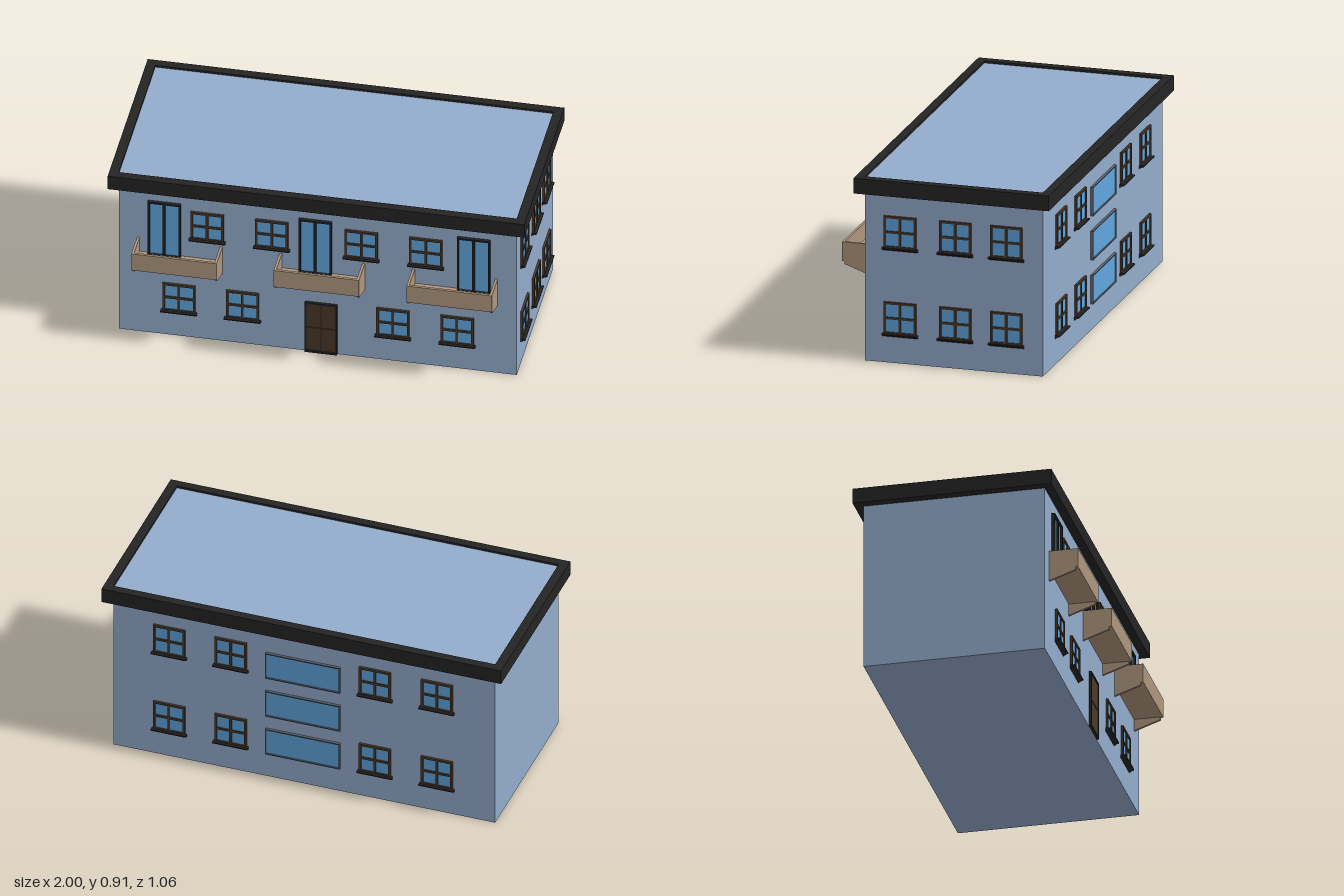
import * as THREE from 'three';

const mat = (color) => new THREE.MeshStandardMaterial({ color });
const wallMat = mat(0x93abcb), darkMat = mat(0x242424), glassMat = mat(0x61a5de);
const woodMat = mat(0x4a3828), stoneMat = mat(0xae967d), greyMat = mat(0x5c646e);

const HALF_X = 0.955, FRONT = 0.39, BACK = -0.487;
const MID_Z = (FRONT + BACK) / 2, DEPTH = FRONT - BACK;

function add(parent, name, geometry, material, x = 0, y = 0, z = 0) {
  const mesh = new THREE.Mesh(geometry, material);
  mesh.name = name;
  mesh.position.set(x, y, z);
  parent.add(mesh);
  return mesh;
}

const box = (w, h, d) => new THREE.BoxGeometry(w, h, d);

function rectPath(path, x0, y0, x1, y1) {
  path.moveTo(x0, y0);
  path.lineTo(x1, y0);
  path.lineTo(x1, y1);
  path.lineTo(x0, y1);
  path.closePath();
  return path;
}

// Frame with a grid of openings, bottom edge at y = 0, standing out along +z
function frameGeometry(w, h, cols, rows, edge, bar, depth) {
  const shape = rectPath(new THREE.Shape(), -w / 2, 0, w / 2, h);
  const cw = (w - 2 * edge - (cols - 1) * bar) / cols;
  const ch = (h - 2 * edge - (rows - 1) * bar) / rows;
  for (let i = 0; i < cols; i++) {
    for (let j = 0; j < rows; j++) {
      const x = -w / 2 + edge + i * (cw + bar), y = edge + j * (ch + bar);
      shape.holes.push(rectPath(new THREE.Path(), x, y, x + cw, y + ch));
    }
  }
  return new THREE.ExtrudeGeometry(shape, { depth, bevelEnabled: false });
}

// Side profile given as [z, y] points, extruded across x and centred
function profileGeometry(points, width) {
  const shape = new THREE.Shape(points.map(([z, y]) => new THREE.Vector2(-z, y)));
  const g = new THREE.ExtrudeGeometry(shape, { depth: width, bevelEnabled: false });
  g.translate(0, 0, -width / 2);
  g.rotateY(-Math.PI / 2);
  // the profile's negative x now points along -z, so turn it to face outwards
  g.computeBoundingBox();
  if (g.boundingBox.max.z <= 0.001) g.rotateY(Math.PI);
  return g;
}

const WIN = 0.158;
const windowFrame = frameGeometry(WIN, WIN, 2, 2, 0.011, 0.011, 0.011);
const sillProfile = profileGeometry(
  [[0, -0.014], [0.01, -0.008], [0.024, -0.003], [0.024, 0.003], [0, 0.003]], 0.173);

function makeWindow() {
  const g = new THREE.Group();
  g.name = 'window';
  add(g, 'windowFrame', windowFrame, woodMat);
  add(g, 'windowGlass', box(WIN - 0.01, WIN - 0.01, 0.004), glassMat, 0, WIN / 2, 0.003);
  add(g, 'windowSill', sillProfile, darkMat);
  return g;
}

function makeBalconyDoor() {
  const g = new THREE.Group(), w = 0.158, h = 0.31;
  g.name = 'balconyDoor';
  add(g, 'balconyDoorFrame', frameGeometry(w, h, 2, 1, 0.009, 0.012, 0.016), darkMat);
  add(g, 'balconyDoorGlass', box(w - 0.01, h - 0.01, 0.004), glassMat, 0, h / 2, 0.003);
  return g;
}

function makeEntrance() {
  const g = new THREE.Group(), w = 0.155, h = 0.287;
  g.name = 'entrance';
  add(g, 'entranceFrame', frameGeometry(w, h, 1, 1, 0.009, 0, 0.013), darkMat);
  add(g, 'entranceLeaf', box(w - 0.01, h - 0.01, 0.004), darkMat, 0, h / 2, 0.002);
  // four raised panels
  for (const x of [-0.035, 0.035]) {
    for (const y of [0.078, 0.212]) {
      add(g, 'entrancePanel', box(0.066, 0.129, 0.006), woodMat, x, y, 0.006);
    }
  }
  return g;
}

function makeStairWindow() {
  const g = new THREE.Group(), w = 0.374, h = 0.144;
  g.name = 'stairWindow';
  add(g, 'stairWindowFrame', frameGeometry(w, h, 1, 1, 0.006, 0, 0.013), greyMat);
  add(g, 'stairWindowGlass', box(w - 0.008, h - 0.008, 0.006), glassMat, 0, h / 2, 0.004);
  return g;
}

function makeBalcony() {
  const g = new THREE.Group(), w = 0.41, d = 0.14, t = 0.012;
  g.name = 'balcony';
  add(g, 'balconyFloor', box(w, 0.014, d), stoneMat, 0, 0.007, d / 2);
  add(g, 'balconyFrontWall', box(w, 0.095, t), stoneMat, 0, 0.0475, d - t / 2);
  const bracket = profileGeometry([[0, -0.058], [0.127, -0.014], [0.127, 0.002], [0, 0.002]], t);
  for (const s of [-1, 1]) {
    const x = s * (w - t) / 2;
    add(g, 'balconySideWall', box(t, 0.095, d - t), stoneMat, x, 0.0475, (d - t) / 2);
    add(g, 'balconyBracket', bracket, stoneMat, x);
  }
  return g;
}

export function createModel() {
  const model = new THREE.Group();
  model.name = 'house';

  // Places a wall fitting, u measured along the wall in world x or z
  const onFront = (part, x, y) => { part.position.set(x, y, FRONT); model.add(part); };
  const onBack = (part, x, y) => {
    part.position.set(x, y, BACK);
    part.rotation.y = Math.PI;
    model.add(part);
  };
  const onLeft = (part, z, y) => {
    part.position.set(HALF_X, y, z);
    part.rotation.y = Math.PI / 2;
    model.add(part);
  };

  // Walls and flat roof
  add(model, 'walls', box(2 * HALF_X, 0.897, DEPTH), wallMat, 0, 0.4485, MID_Z);

  // Roof rim around the top of the walls
  const rim = rectPath(new THREE.Shape(), -1, -0.481, 1, 0.481);
  rim.holes.push(rectPath(new THREE.Path(), -HALF_X, -DEPTH / 2, HALF_X, DEPTH / 2));
  const rimGeometry = new THREE.ExtrudeGeometry(rim, { depth: 0.075, bevelEnabled: false });
  rimGeometry.rotateX(-Math.PI / 2);
  add(model, 'roofRim', rimGeometry, darkMat, 0, 0.832, MID_Z);

  // Front
  for (const x of [-0.53, -0.22, 0.21, 0.52]) onFront(makeWindow(), x, 0.573);
  for (const x of [-0.665, -0.36, 0.362, 0.67]) onFront(makeWindow(), x, 0.142);
  for (const x of [-0.735, -0.01, 0.75]) onFront(makeBalconyDoor(), x, 0.455);
  for (const x of [-0.662, 0.021, 0.659]) onFront(makeBalcony(), x, 0.449);
  onFront(makeEntrance(), 0.017, 0);

  // Left side
  for (const z of [0.215, -0.057, -0.308]) {
    for (const y of [0.142, 0.566]) onLeft(makeWindow(), z, y);
  }

  // Back
  for (const x of [0.675, 0.367, -0.355, -0.665]) {
    for (const y of [0.142, 0.58]) onBack(makeWindow(), x, y);
  }
  for (const y of [0.13, 0.347, 0.564]) onBack(makeStairWindow(), 0.005, y);

  return model;
}
